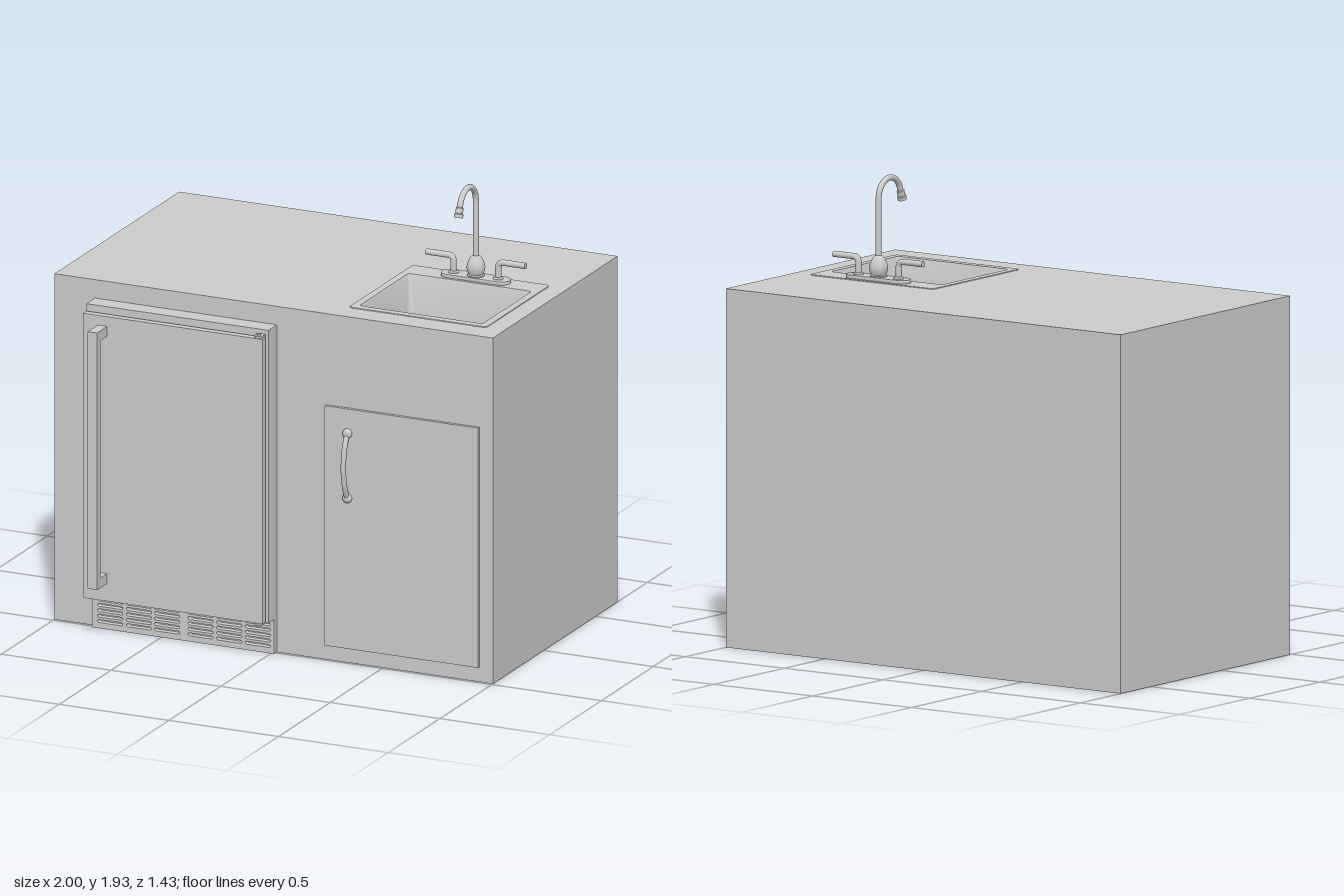
import * as THREE from 'three';
import { toCreasedNormals } from 'three/addons/utils/BufferGeometryUtils.js';

const grey = new THREE.MeshStandardMaterial({ color: 0xcccccc });
const greyDouble = new THREE.MeshStandardMaterial({ color: 0xcccccc, side: THREE.DoubleSide });
const V = (x, y, z) => new THREE.Vector3(x, y, z);

function add(parent, name, geometry, x = 0, y = 0, z = 0, material = grey) {
  const mesh = new THREE.Mesh(geometry, material);
  mesh.name = name;
  mesh.position.set(x, y, z);
  parent.add(mesh);
  return mesh;
}

// Box given by its minimum and maximum corners
function box(parent, name, x0, x1, y0, y1, z0, z1) {
  return add(parent, name, new THREE.BoxGeometry(x1 - x0, y1 - y0, z1 - z0),
    (x0 + x1) / 2, (y0 + y1) / 2, (z0 + z1) / 2);
}

const lathe = (pts, seg = 28) => toCreasedNormals(
  new THREE.LatheGeometry(pts.map(p => new THREE.Vector2(p[0], p[1])), seg), 0.6);

function rect(Type, x0, x1, y0, y1) {
  const s = new Type();
  s.moveTo(x0, y0).lineTo(x1, y0).lineTo(x1, y1).lineTo(x0, y1).closePath();
  return s;
}

function slot(Type, cx, cy, w, h) {
  const s = new Type(), r = h / 2, k = w / 2 - r;
  s.moveTo(cx - k, cy - r);
  s.lineTo(cx + k, cy - r);
  s.absarc(cx + k, cy, r, -Math.PI / 2, Math.PI / 2, false);
  s.lineTo(cx - k, cy + r);
  s.absarc(cx - k, cy, r, Math.PI / 2, Math.PI * 1.5, false);
  return s;
}

// Horizontal rounded-rectangle loop
function ring(cx, cz, hx, hz, r, y, n = 8) {
  const pts = [];
  [[1, 1], [-1, 1], [-1, -1], [1, -1]].forEach(([sx, sz], q) => {
    for (let i = 0; i <= n; i++) {
      const a = (q + i / n) * Math.PI / 2;
      pts.push(V(cx + sx * (hx - r) + r * Math.cos(a), y, cz + sz * (hz - r) + r * Math.sin(a)));
    }
  });
  return pts;
}

// Skin through loops that run from the outside in
function skin(loops) {
  const n = loops[0].length, index = [];
  for (let k = 0; k < loops.length - 1; k++) {
    for (let j = 0; j < n; j++) {
      const a = k * n + j, b = k * n + (j + 1) % n, c = b + n, d = a + n;
      index.push(a, c, b, a, d, c);
    }
  }
  const g = new THREE.BufferGeometry().setFromPoints(loops.flat());
  g.setIndex(index);
  return toCreasedNormals(g, 0.6);
}

function cabinet(root) {
  const g = new THREE.Group();
  g.name = 'cabinet';
  // Plan shape with the sink cut-out, extruded to full height over a bottom plate
  const plan = rect(THREE.Shape, -1, 1, -0.49, 0.714);
  plan.holes.push(rect(THREE.Path, 0.305, 0.905, -0.365, 0.225));
  const body = new THREE.ExtrudeGeometry(plan, { depth: 1.49, bevelEnabled: false });
  body.rotateX(-Math.PI / 2);
  add(g, 'cabinetBody', body, 0, 0.01, 0);
  box(g, 'bottomPlate', -1, 1, 0, 0.01, -0.714, 0.49);

  box(g, 'cabinetDoor', 0.24, 0.94, 0.065, 1.105, 0.49, 0.505);
  // Bowed pull, thicker at its ends
  const curve = new THREE.CatmullRomCurve3([
    V(0.345, 1.0, 0.508), V(0.345, 0.95, 0.533), V(0.345, 0.86, 0.547),
    V(0.345, 0.77, 0.533), V(0.345, 0.715, 0.508)]);
  add(g, 'doorPull', new THREE.TubeGeometry(curve, 28, 0.011, 12));
  for (const y of [1.0, 0.72]) {
    const foot = add(g, 'pullFoot', new THREE.SphereGeometry(0.021, 20, 12), 0.345, y, 0.51);
    foot.scale.z = 0.7;
  }
  root.add(g);
}

function fridge(root) {
  const g = new THREE.Group();
  g.name = 'fridge';
  box(g, 'fridgeBody', -0.815, 0.015, 0.15, 1.42, 0.485, 0.572);
  box(g, 'fridgeDoor', -0.81, 0.008, 0.158, 1.392, 0.583, 0.615);
  box(g, 'doorGasket', -0.79, -0.02, 0.18, 1.37, 0.572, 0.583);

  // Square bar handle
  box(g, 'handleBar', -0.743, -0.7, 0.235, 1.35, 0.68, 0.712);
  for (const y of [0.235, 1.307]) box(g, 'handleMount', -0.743, -0.7, y, y + 0.043, 0.615, 0.68);

  // Hinge plate and pin at the top and bottom
  for (const y of [1.398, 0.152]) {
    box(g, 'hingePlate', -0.033, 0.003, y - 0.004, y + 0.004, 0.57, 0.602);
    add(g, 'hingeEnd', new THREE.CylinderGeometry(0.018, 0.018, 0.008, 20), -0.015, y, 0.6);
    add(g, 'hingePin', new THREE.CylinderGeometry(0.008, 0.008, 0.024, 16), -0.015, y, 0.6);
  }

  // Ventilation grille: six banks of five slots
  const panel = rect(THREE.Shape, -0.815, 0.015, 0, 0.15);
  for (const x of [-0.733, -0.602, -0.473, -0.321, -0.19, -0.06]) {
    for (let i = 0; i < 5; i++) panel.holes.push(slot(THREE.Path, x, 0.031 + i * 0.0235, 0.115, 0.013));
  }
  add(g, 'ventGrille', new THREE.ExtrudeGeometry(panel, { depth: 0.027, bevelEnabled: false, curveSegments: 6 }), 0, 0, 0.489);
  root.add(g);
}

function sink(root) {
  const g = new THREE.Group();
  g.name = 'sink';
  const cx = 0.603, cz = 0.107, hx = 0.281, hz = 0.237, bottom = 1.25, dz = 0.025;
  const loops = [
    ring(cx, 0.07, 0.315, 0.31, 0.02, 1.499),
    ring(cx, 0.07, 0.313, 0.308, 0.02, 1.503),
    ring(cx, cz, hx, hz, 0.015, 1.503),
    ring(cx, cz, hx - 0.003, hz - 0.003, 0.015, 1.497)];
  // Wall-to-floor fillet
  for (let i = 0; i <= 6; i++) {
    const a = i / 6 * Math.PI / 2, s = 0.015 + 0.045 * (1 - Math.cos(a));
    loops.push(ring(cx, cz, hx - s, hz - s, 0.03, bottom + 0.05 - 0.045 * Math.sin(a)));
  }
  loops.push(ring(cx, dz, 0.06, 0.06, 0.06, bottom));
  loops.push(ring(cx, dz, 0.045, 0.045, 0.045, bottom - 0.008));
  add(g, 'basin', skin(loops), 0, 0, 0, greyDouble);

  // Drain cup with perforated strainer
  add(g, 'drainCup', lathe([[0, -0.04], [0.045, -0.04], [0.045, -0.008]]), cx, bottom, dz, greyDouble);
  const strainer = new THREE.Shape().absarc(0, 0, 0.045, 0, Math.PI * 2, false);
  for (const [count, radius] of [[1, 0], [6, 0.013], [12, 0.025], [18, 0.037]]) {
    for (let i = 0; i < count; i++) {
      const a = i / count * Math.PI * 2;
      strainer.holes.push(new THREE.Path().absarc(radius * Math.cos(a), radius * Math.sin(a), 0.004, 0, Math.PI * 2, true));
    }
  }
  const plate = new THREE.ExtrudeGeometry(strainer, { depth: 0.003, bevelEnabled: false, curveSegments: 8 });
  plate.rotateX(-Math.PI / 2);
  add(g, 'strainer', plate, cx, bottom - 0.015, dz);
  root.add(g);
}

function faucet(root) {
  const g = new THREE.Group();
  g.name = 'faucet';
  g.position.set(0.604, 1.5, -0.184);

  const base = new THREE.ExtrudeGeometry(slot(THREE.Shape, 0, 0, 0.312, 0.08),
    { depth: 0.012, bevelSize: 0.003, bevelThickness: 0.003, bevelOffset: -0.003, bevelSegments: 2, curveSegments: 12 });
  base.rotateX(-Math.PI / 2);
  add(g, 'basePlate', toCreasedNormals(base, 0.6), 0, 0.003, 0);
  add(g, 'spoutBody', lathe([[0, 0.012], [0.036, 0.012], [0.036, 0.022], [0.031, 0.026], [0.037, 0.04],
    [0.039, 0.055], [0.035, 0.075], [0.026, 0.093], [0.018, 0.102], [0.013, 0.106], [0, 0.106]]));

  // Gooseneck: straight riser, arc over, then a short run into the nozzle
  const pts = [V(0, 0.09, 0), V(0, 0.2, 0), V(0, 0.3, 0)];
  const r = 0.078, sweep = Math.PI * 0.9;
  for (let i = 0; i <= 10; i++) {
    const a = i / 10 * sweep;
    pts.push(V(0, 0.342 + r * Math.sin(a), r - r * Math.cos(a)));
  }
  const end = pts[pts.length - 1];
  const dir = V(0, Math.cos(sweep), Math.sin(sweep));
  const tip = end.clone().addScaledVector(dir, 0.025);
  pts.push(tip);
  add(g, 'gooseneck', new THREE.TubeGeometry(new THREE.CatmullRomCurve3(pts), 64, 0.0125, 16));
  const nozzle = add(g, 'nozzle', lathe([[0, 0.045], [0.019, 0.045], [0.019, 0.03], [0.016, 0.026],
    [0.016, 0.004], [0.013, 0], [0, 0]].reverse().map(([x, y]) => [x, y])), tip.x, tip.y, tip.z, greyDouble);
  nozzle.position.addScaledVector(dir, -0.018);
  nozzle.quaternion.setFromUnitVectors(V(0, 1, 0), dir);

  // Mirrored lever handles
  for (const s of [-1, 1]) {
    const x = s * 0.102;
    add(g, 'handleBase', lathe([[0, 0.012], [0.023, 0.012], [0.022, 0.02], [0.015, 0.026], [0, 0.026]]), x, 0, 0);
    const path = new THREE.CurvePath();
    path.add(new THREE.LineCurve3(V(x, 0.02, 0), V(x, 0.065, 0)));
    path.add(new THREE.QuadraticBezierCurve3(V(x, 0.065, 0), V(x, 0.09, 0), V(x + s * 0.025, 0.09, 0)));
    path.add(new THREE.LineCurve3(V(x + s * 0.025, 0.09, 0), V(s * 0.225, 0.09, 0)));
    add(g, 'lever', new THREE.TubeGeometry(path, 40, 0.013, 16));
    const cap = add(g, 'leverEnd', new THREE.CylinderGeometry(0.013, 0.013, 0.004, 16), s * 0.225, 0.09, 0);
    cap.rotation.z = Math.PI / 2;
  }
  root.add(g);
}

export function createModel() {
  const root = new THREE.Group();
  root.name = 'outdoorKitchenIsland';
  cabinet(root);
  fridge(root);
  sink(root);
  faucet(root);
  return root;
}
